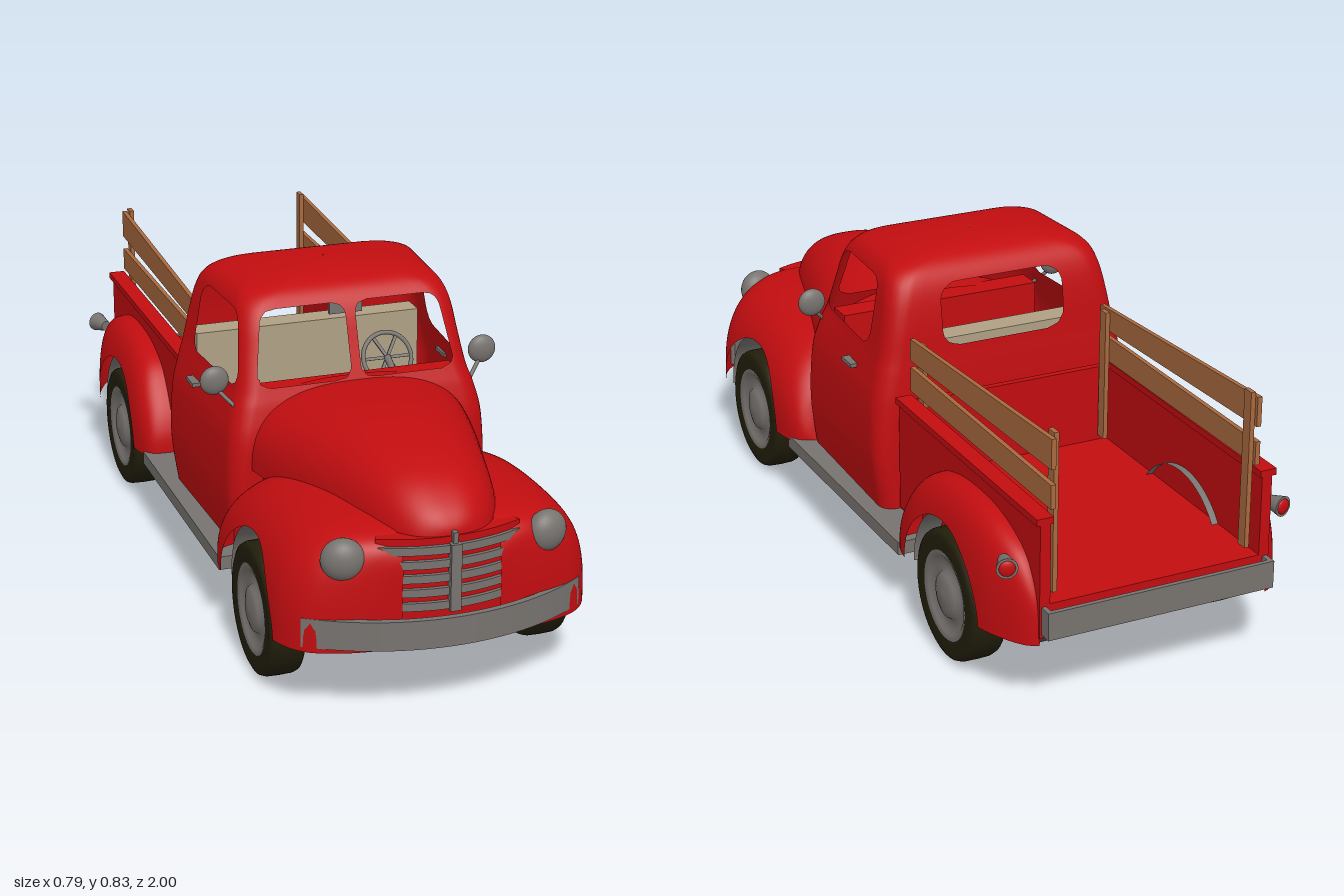
import * as THREE from 'three';
import { mergeVertices } from 'three/addons/utils/BufferGeometryUtils.js';

const mat = (name, color) => new THREE.MeshStandardMaterial({ name, color, side: THREE.DoubleSide });
const red = mat('red paint', 0xc20d10), grey = mat('grey metal', 0x77736f), rubber = mat('tyre rubber', 0x221f0b);
const wood = mat('wood', 0xa9693f), dark = mat('dark underside', 0x353333), tan = mat('tan seat', 0xb0a084);

export function createModel() {
  const model = new THREE.Group();
  model.name = 'pickupTruck';
  const add = (name, geo, material, x = 0, y = 0, z = 0) => {
    const m = new THREE.Mesh(geo, material);
    m.name = name;
    m.position.set(x, y, z);
    model.add(m);
    return m;
  };
  // Box given by its limits
  const box = (name, material, x0, x1, y0, y1, z0, z1) => add(name,
    new THREE.BoxGeometry(Math.abs(x1 - x0), y1 - y0, Math.abs(z1 - z0)), material, (x0 + x1) / 2, (y0 + y1) / 2, (z0 + z1) / 2);

  // Smooth interpolation through the rows of a table
  const row = (table, t) => {
    const f = t * (table.length - 1), i = Math.min(Math.floor(f), table.length - 2), k = f - i;
    const p = j => table[Math.max(0, Math.min(table.length - 1, j))];
    return table[0].map((_, c) => {
      const [a, b, d, e] = [p(i - 1)[c], p(i)[c], p(i + 1)[c], p(i + 2)[c]];
      return b + 0.5 * k * (d - a + k * (2 * a - 5 * b + 4 * d - e + k * (3 * (b - d) + e - a)));
    });
  };

  // Grid surface from fn(u, v)
  const surface = (fn, nu, nv) => {
    const pos = [], idx = [];
    for (let j = 0; j <= nv; j++) for (let i = 0; i <= nu; i++) pos.push(...fn(i / nu, j / nv));
    for (let j = 0; j < nv; j++) for (let i = 0; i < nu; i++) {
      const a = j * (nu + 1) + i, b = a + 1, c = a + nu + 1, d = c + 1;
      idx.push(a, c, b, b, c, d);
    }
    const g = new THREE.BufferGeometry();
    g.setAttribute('position', new THREE.Float32BufferAttribute(pos, 3));
    g.setIndex(idx);
    const merged = mergeVertices(g, 1e-5);
    merged.computeVertexNormals();
    return merged;
  };

  // Cut away everything where field(x, y, z) is negative
  const cut = (geo, field) => {
    const g = geo.toNonIndexed(), P = g.attributes.position, N = g.attributes.normal, pos = [], nor = [];
    for (let t = 0; t < P.count; t += 3) {
      const tri = [0, 1, 2].map(k => {
        const p = [P.getX(t + k), P.getY(t + k), P.getZ(t + k)];
        return { p, n: [N.getX(t + k), N.getY(t + k), N.getZ(t + k)], d: field(...p) };
      });
      const poly = [];
      tri.forEach((a, k) => {
        const b = tri[(k + 1) % 3], s = a.d / (a.d - b.d), mix = (q, r) => q.map((v, c) => v + (r[c] - v) * s);
        if (a.d >= 0) poly.push(a);
        if ((a.d >= 0) !== (b.d >= 0)) poly.push({ p: mix(a.p, b.p), n: mix(a.n, b.n) });
      });
      for (let k = 1; k + 1 < poly.length; k++)
        for (const q of [poly[0], poly[k], poly[k + 1]]) { pos.push(...q.p); nor.push(...q.n); }
    }
    const out = new THREE.BufferGeometry();
    out.setAttribute('position', new THREE.Float32BufferAttribute(pos, 3));
    out.setAttribute('normal', new THREE.Float32BufferAttribute(nor, 3));
    return out;
  };
  // Signed distance to a rounded rectangle
  const rounded = (a, b, a0, a1, b0, b1, r) => {
    const q = Math.abs(a - (a0 + a1) / 2) - (a1 - a0) / 2 + r, w = Math.abs(b - (b0 + b1) / 2) - (b1 - b0) / 2 + r;
    return Math.hypot(Math.max(q, 0), Math.max(w, 0)) + Math.min(Math.max(q, w), 0) - r;
  };

  // Cab: stacked rounded outlines [y, zFront, zRear, widthFront, widthRear, corner radius]
  const cab = [[.19, .32, -.185, .33, .345, .04], [.32, .33, -.187, .34, .362, .04], [.46, .33, -.185, .335, .36, .05],
    [.54, .315, -.18, .318, .345, .05], [.59, .298, -.175, .302, .333, .05], [.67, .268, -.168, .29, .317, .05],
    [.74, .243, -.155, .281, .303, .055], [.785, .218, -.135, .265, .285, .06], [.812, .185, -.105, .235, .25, .07],
    [.828, .13, -.06, .17, .18, .08], [.834, .07, -.01, .07, .07, .03], [.835, .031, .029, .001, .001, .0005]];
  const outline = [];
  for (let k = 0; k < 4; k++) {
    const corner = (n, a) => {
      const m = (n % 4) * Math.PI / 2 + Math.PI / 4;
      return [Math.sign(Math.cos(m)), Math.sign(Math.sin(m)), Math.cos(a), Math.sin(a)];
    };
    for (let i = 0; i <= 6; i++) outline.push(corner(k, (k + i / 6) * Math.PI / 2));
    const a = corner(k, (k + 1) * Math.PI / 2), b = corner(k + 1, (k + 1) * Math.PI / 2);
    for (let i = 1; i < 18; i++) outline.push(a.map((v, c) => v + (b[c] - v) * i / 18));
  }
  outline.push(outline[0]);
  const cabShell = surface((u, v) => {
    const [y, zf, zr, wf, wr, r] = row(cab, v), [sx, sz, c, s] = outline[Math.round(u * (outline.length - 1))];
    const W = (wf + wr) / 2, D = (zf - zr) / 2, dz = sz * (D - r) + r * s;
    const w = wr + (wf - wr) * (dz + D) / (2 * D);
    return [(sx * (W - r) + r * c) * w / W, y, (zf + zr) / 2 + dz];
  }, outline.length - 1, 55);
  add('cab', cut(cabShell, (x, y, z) => {
    const ax = Math.abs(x);
    if (ax > .262) return rounded(z, y, -.055, .262 - (y - .592) * .38, .592, .768, .04);
    if (z > .05) return rounded(ax, y, .013, .258 - Math.max(0, y - .62) * .17, .595, .775, .03);
    return rounded(x, y, -.17, .17, .605, .765, .045);
  }), red);

  // Cab interior
  box('seatBack', tan, -.305, .305, .3, .617, -.15, -.085);
  box('seatCushion', tan, -.3, .3, .25, .4, -.085, .1);
  box('dashboard', red, -.28, .28, .48, .575, .2, .27);
  const wheelTilt = -.45;
  add('steeringWheel', new THREE.TorusGeometry(.065, .006, 8, 28), grey, .14, .575, .13).rotation.x = wheelTilt;
  for (let i = 0; i < 3; i++)
    add('steeringSpoke', new THREE.BoxGeometry(.125, .008, .006), grey, .14, .575, .13).rotation.set(wheelTilt, 0, i * Math.PI / 3);
  const column = add('steeringColumn', new THREE.CylinderGeometry(.009, .009, .12, 10), grey, .14, .55, .185);
  column.rotation.x = Math.PI / 2 + .45;
  box('rearViewMirror', grey, -.043, .043, .737, .77, .195, .205);

  // Hood: arched sections [z, top, half width]
  const hood = [[.24, .585, .3], [.35, .597, .285], [.5, .604, .25], [.65, .597, .21], [.78, .577, .175],
    [.86, .55, .145], [.92, .51, .105], [.948, .475, .06], [.956, .445, .002]];
  add('hood', surface((u, v) => {
    const [z, top, w] = row(hood, v), a = u * Math.PI, c = Math.cos(a), s = Math.max(0, Math.sin(a));
    return [w * Math.sign(c) * Math.abs(c) ** .78, .4 + (top - .4) * s ** .78, z];
  }, 40, 40), red);
  box('engineBay', red, -.26, .26, .2, .43, .3, .8);

  // Fenders: sections [z, top, outer x], with a round wheel opening
  const frontRows = [[.295, .2, .33], [.31, .28, .362], [.34, .36, .383], [.4, .42, .396], [.5, .452, .4], [.65, .468, .4],
    [.78, .468, .397], [.85, .463, .377], [.9, .451, .335], [.93, .432, .265], [.945, .40, .19], [.95, .36, .122]];
  const rearRows = [[-.33, .19, .305], [-.337, .25, .36], [-.37, .32, .385], [-.44, .4, .398], [-.53, .435, .4], [-.63, .447, .4],
    [-.74, .443, .399], [-.83, .42, .388], [-.9, .38, .36], [-.945, .31, .33], [-.962, .24, .302]];
  const fender = (name, rows, side, inner, wheelZ) => {
    const g = surface((u, v) => {
      const [z, top, out] = row(rows, v), a = u * Math.PI / 2;
      return [side * (inner + (out - inner) * Math.sin(a) ** .7), .18 + (top - .18) * Math.max(0, Math.cos(a)) ** .7, z];
    }, 28, 60);
    add(name, cut(g, (x, y, z) => Math.hypot(z - wheelZ, y - .165) - .2), red);
    const liner = new THREE.CylinderGeometry(.2, .2, .11, 32, 1, true, 0, Math.PI);
    add('wheelArchLiner', liner, grey, side * .315, .165, wheelZ).rotation.z = Math.PI / 2;
  };

  // Wheels
  const lathe = pts => new THREE.LatheGeometry(pts.map(p => new THREE.Vector2(...p)), 40).rotateZ(-Math.PI / 2);
  const tyre = lathe([[.1, -.047], [.148, -.047], [.16, -.041], [.164, -.03], [.165, 0], [.164, .03], [.16, .041], [.148, .047], [.112, .044]]);
  const hub = lathe([[0, -.035], [.116, -.035], [.117, .04], [.112, .045], [.098, .04], [.086, .031], [.062, .031], [.055, .042], [.035, .049], [0, .052]]);

  for (const s of [1, -1]) {
    fender('frontFender', frontRows, s, .12, .615);
    fender('rearFender', rearRows, s, .3, -.62);
    for (const z of [.615, -.62]) {
      for (const [n, g, m] of [['tyre', tyre, rubber], ['hub', hub, grey]])
        add(n, g, m, s * .3375, .165, z).rotation.y = s > 0 ? 0 : Math.PI;
    }
    box('runningBoard', grey, s * .29, s * .385, .155, .19, -.36, .36);

    // Headlight and tail light
    const lamp = add('headlight', new THREE.SphereGeometry(.052, 28, 18), grey, s * .252, .405, .905);
    lamp.scale.z = .7;
    lamp.rotation.y = s * .25;
    const tail = add('tailLightHousing', new THREE.CylinderGeometry(.026, .014, .05, 20), grey, s * .36, .375, -.9);
    tail.rotation.set(-Math.PI / 2, 0, -s * .3);
    const lens = new THREE.Mesh(new THREE.SphereGeometry(.02, 16, 10).scale(1, .35, 1), red);
    lens.name = 'tailLightLens';
    lens.position.y = .025;
    tail.add(lens);

    // Side mirror and door handle
    add('sideMirror', new THREE.SphereGeometry(.037, 24, 16), grey, s * .355, .612, .24).scale.z = .5;
    const arm = new THREE.LineCurve3(new THREE.Vector3(s * .305, .542, .275), new THREE.Vector3(s * .35, .59, .242));
    add('mirrorArm', new THREE.TubeGeometry(arm, 1, .005, 8), grey);
    box('doorHandle', grey, s * .33, s * .356, .522, .532, -.015, .045);

    // Bed side, rail, planks and posts
    box('bedSide', red, s * .278, s * .305, .2, .49, -.965, -.2);
    box('bedRail', red, s * .272, s * .315, .488, .505, -.967, -.2);
    const plank = (y0, y1, y2, y3) => {
      const shape = new THREE.Shape([[.2, y0], [.955, y1], [.955, y2], [.2, y3]].map(p => new THREE.Vector2(...p)));
      const g = new THREE.ExtrudeGeometry(shape, { depth: .012, bevelEnabled: false }).rotateY(Math.PI / 2);
      add('sidePlank', g, wood, s * .268 - .006);
    };
    plank(.515, .517, .577, .58);
    plank(.597, .615, .69, .655);
    for (const [z, top] of [[-.235, .65], [-.93, .7]]) box('plankPost', wood, s * .25, s * .262, .3, top, z - .015, z + .015);
    box('rearBumperEnd', grey, s * .288, s * .3, .21, .28, -.995, -.965);
    box('rearBumperBracket', grey, s * .13, s * .142, .225, .265, -.99, -.94);
  }

  // Bed floor, headboard and rear bumper
  box('bedFloor', red, -.28, .28, .265, .285, -.965, -.2);
  box('bedHeadboard', red, -.305, .305, .2, .49, -.215, -.197);
  box('rearSill', red, -.3, .3, .21, .27, -.965, -.95);
  box('rearBumper', grey, -.3, .3, .21, .28, -1, -.988);

  // Curved band across the front, given half width, bulge, front z and heights
  const band = (name, material, half, bulge, front, y0, y1, thick) => {
    const R = (half * half + bulge * bulge) / (2 * bulge), a = Math.asin(half / R), m = Math.PI / 2;
    const shape = new THREE.Shape();
    shape.absarc(0, 0, R, m - a, m + a, false);
    shape.absarc(0, 0, R - thick, m + a, m - a, true);
    const g = new THREE.ExtrudeGeometry(shape, { depth: y1 - y0, bevelEnabled: false, curveSegments: 24 });
    add(name, g.rotateX(Math.PI / 2), material, 0, y1, front - R);
  };
  band('frontBumper', grey, .348, .11, 1, .192, .265, .016);
  for (const s of [1, -1]) box('frontBumperBracket', grey, s * .15, s * .17, .21, .245, .85, .965);
  band('grillePanel', red, .178, .04, .957, .22, .45, .05);
  for (let i = 0; i < 5; i++) band('grilleBar', grey, .175, .04, .967, .272 + i * .035, .292 + i * .035, .012);
  box('grilleCentre', grey, -.013, .013, .268, .435, .95, .976);
  box('noseOrnament', grey, -.006, .006, .43, .462, .945, .968);

  // Chassis and axles
  box('chassis', dark, -.298, .298, .185, .21, -.955, .88);
  for (const z of [.615, -.62]) {
    add('axle', new THREE.CylinderGeometry(.016, .016, .62, 14).rotateZ(Math.PI / 2), grey, 0, .168, z);
    add('differential', new THREE.SphereGeometry(.05, 20, 14).scale(1.28, .74, 1), grey, 0, .165, z);
  }
  return model;
}
